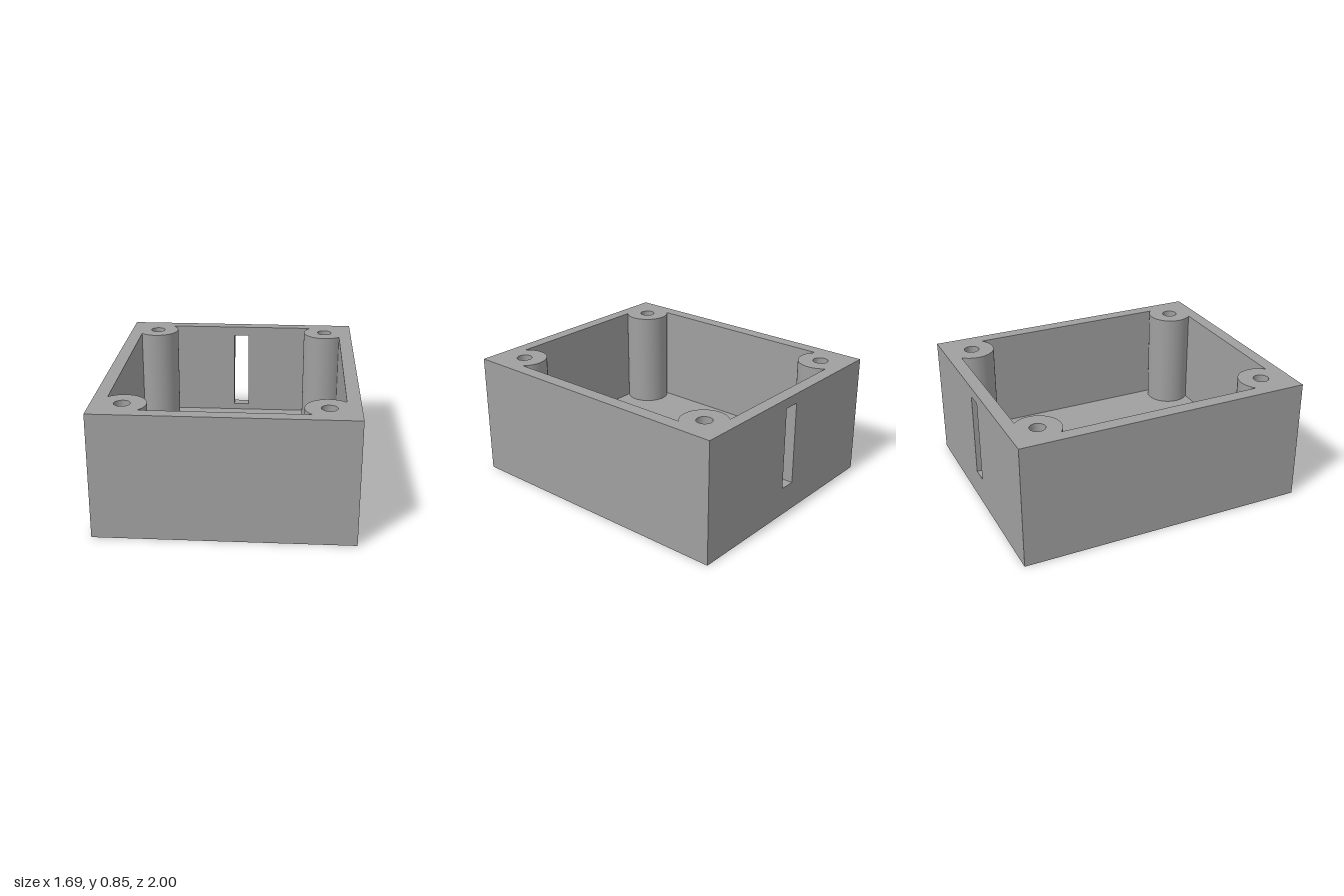
import * as THREE from 'three';
import { toCreasedNormals } from 'three/addons/utils/BufferGeometryUtils.js';

const W = 0.845, D = 1, H = 0.845;       // outer half width, half depth, full height
const FLOOR = 0.155;                     // floor thickness
const IX = 0.755, IZ = 0.913;            // inner half width and half depth
const BOSS = { x: 0.645, z: 0.803, r: 0.11 * Math.SQRT2, hole: 0.052 };
const SLOT = { half: 0.056, y0: 0.2, y1: 0.776 };
const SIGNS = [[1, 1], [1, -1], [-1, -1], [-1, 1]];

function addHole(shape, x, y, r) {
  shape.holes.push(new THREE.Path().absarc(x, y, r, 0, Math.PI * 2, true));
}

// Extrudes a plan shape (shape +y is the back) upward from y0 to y1
function extrudeUp(shape, y0, y1) {
  const geo = new THREE.ExtrudeGeometry(shape, { depth: y1 - y0, bevelEnabled: false, curveSegments: 32 });
  geo.rotateX(-Math.PI / 2).translate(0, y0, 0);
  return toCreasedNormals(geo, 0.5);
}

export function createModel() {
  const group = new THREE.Group();
  group.name = 'enclosure';
  const grey = new THREE.MeshStandardMaterial({ color: 0xa0a0a0 });
  grey.name = 'grey plastic';

  const add = (name, geo) => {
    const mesh = new THREE.Mesh(geo, grey);
    mesh.name = name;
    group.add(mesh);
  };

  // Floor with the large centre opening, four mounting holes and four screw holes
  const floor = new THREE.Shape([[-W, -D], [W, -D], [W, D], [-W, D]].map(p => new THREE.Vector2(...p)));
  addHole(floor, 0, 0, 0.27);
  for (const [sx, sz] of SIGNS) {
    addHole(floor, sx * 0.345, sz * 0.345, 0.04);
    addHole(floor, sx * BOSS.x, sz * BOSS.z, BOSS.hole);
  }
  add('floor', extrudeUp(floor, 0, FLOOR));

  // Walls and corner screw posts in one outline, open at the slot in the back
  const walls = new THREE.Shape();
  walls.moveTo(-SLOT.half, D);
  walls.lineTo(-W, D);
  walls.lineTo(-W, -D);
  walls.lineTo(W, -D);
  walls.lineTo(W, D);
  walls.lineTo(SLOT.half, D);
  walls.lineTo(SLOT.half, IZ);
  SIGNS.forEach(([sx, sz], i) => {
    const start = Math.PI * (0.75 - 0.5 * i);
    walls.absarc(sx * BOSS.x, sz * BOSS.z, BOSS.r, start, start + Math.PI, false);
  });
  walls.lineTo(-SLOT.half, IZ);
  walls.closePath();
  for (const [sx, sz] of SIGNS) addHole(walls, sx * BOSS.x, sz * BOSS.z, BOSS.hole);
  add('wallsAndScrewPosts', extrudeUp(walls, FLOOR, H));

  // Wall pieces below and above the slot
  for (const [name, y0, y1] of [['slotSill', FLOOR, SLOT.y0], ['slotLintel', SLOT.y1, H]]) {
    const geo = new THREE.BoxGeometry(SLOT.half * 2, y1 - y0, D - IZ);
    geo.translate(0, (y0 + y1) / 2, -(D + IZ) / 2);
    add(name, geo);
  }

  return group;
}
